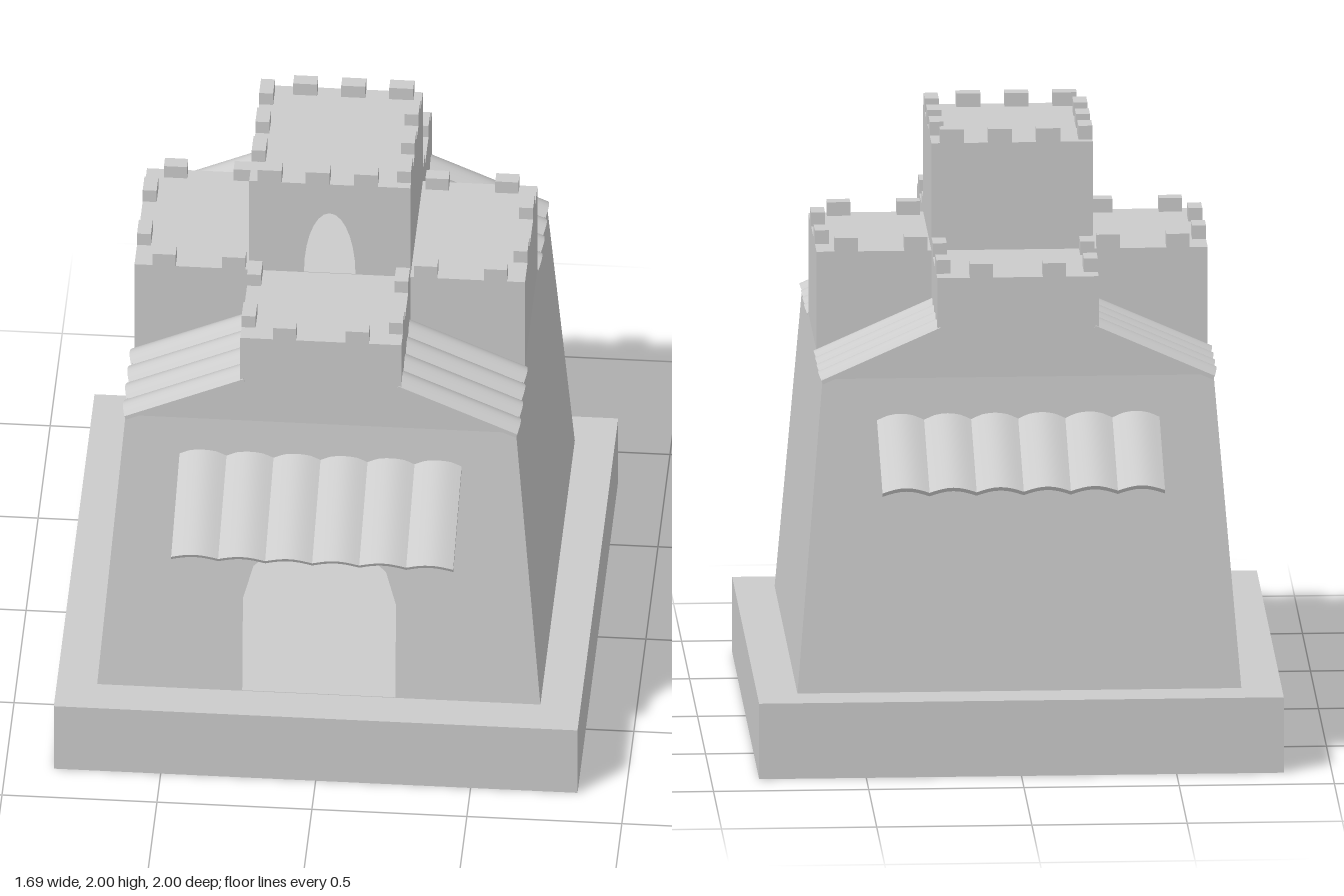
import * as THREE from 'three';
import { toCreasedNormals } from 'three/addons/utils/BufferGeometryUtils.js';

const grey = new THREE.MeshStandardMaterial({ color: 0xcccccc, flatShading: true });
const greyThin = new THREE.MeshStandardMaterial({ color: 0xcccccc, flatShading: true, side: THREE.DoubleSide });
const greySmooth = new THREE.MeshStandardMaterial({ color: 0xcccccc, side: THREE.DoubleSide });

const BASE_Y = 0.25, EAVE_Y = 1.27, DECK_Y = 1.6, TOWER_Y = 1.955;
const ARM = 0.26, REACH = 0.63, FOOT = 0.715;
const MERLON_H = 0.045, MERLON_T = 0.045;

function add(parent, name, geometry, material = grey) {
  const mesh = new THREE.Mesh(geometry, material);
  mesh.name = name;
  parent.add(mesh);
  return mesh;
}

function polygon(points) {
  return new THREE.Shape(points.map(([x, y]) => new THREE.Vector2(x, y)));
}

// box given by its extents on each axis
function block(parent, name, [x0, x1], [y0, y1], [z0, z1]) {
  const mesh = add(parent, name, new THREE.BoxGeometry(x1 - x0, y1 - y0, z1 - z0));
  mesh.position.set((x0 + x1) / 2, (y0 + y1) / 2, (z0 + z1) / 2);
  return mesh;
}

// arched opening: straight jambs up to the spring line, then half an ellipse
function archHole(halfWidth, bottom, spring, rise, segments) {
  const points = [];
  if (spring > bottom) points.push([-halfWidth, bottom], [halfWidth, bottom]);
  for (let i = 0; i <= segments; i++) {
    const a = (i / segments) * Math.PI;
    points.push([halfWidth * Math.cos(a), spring + rise * Math.sin(a)]);
  }
  return polygon(points);
}

// four thin walls whose half-width goes from h0 at y0 to h1 at y1; the front one takes an opening
function walls(parent, name, h0, h1, y0, y1, opening) {
  for (let i = 0; i < 4; i++) {
    const shape = polygon([[-h0, y0], [h0, y0], [h1, y1], [-h1, y1]]);
    if (i === 0) shape.holes.push(opening);
    const geometry = new THREE.ShapeGeometry(shape);
    const p = geometry.attributes.position;
    for (let v = 0; v < p.count; v++) {
      p.setZ(v, THREE.MathUtils.mapLinear(p.getY(v), y0, y1, h0, h1));
    }
    geometry.computeVertexNormals();
    add(parent, name, geometry, greyThin).rotation.y = (i * Math.PI) / 2;
  }
}

// scalloped sheet sloping down along +z from its upper edge at the origin
function tiledRoof(name, tiles, width, length) {
  const top = [], steps = 8, tile = width / tiles;
  for (let i = 0; i <= tiles * steps; i++) {
    top.push([-width / 2 + (i / steps) * tile, 0.02 * Math.sin(((i % steps) / steps) * Math.PI)]);
  }
  const under = top.map(([x, y]) => [x, y - 0.014]).reverse();
  const geometry = new THREE.ExtrudeGeometry(polygon([...top, ...under]), { depth: length, bevelEnabled: false });
  geometry.rotateX(0.418);
  const mesh = new THREE.Mesh(toCreasedNormals(geometry, 0.45), greySmooth);
  mesh.name = name;
  return mesh;
}

export function createModel() {
  const model = new THREE.Group();
  model.name = 'fortress';

  block(model, 'base', [-0.845, 0.845], [0, BASE_Y], [-0.845, 0.845]);

  // hollow tapered keep with an arched doorway
  walls(model, 'keepWall', FOOT, REACH, BASE_Y, EAVE_Y, archHole(0.247, BASE_Y + 0.002, 0.6, 0.245, 6));

  // upper storey: front-to-back arm with sloping shoulders, crossed by a side-to-side arm
  const gable = polygon([
    [-REACH, EAVE_Y - 0.01], [REACH, EAVE_Y - 0.01], [ARM, 1.42], [ARM, DECK_Y],
    [-ARM, DECK_Y], [-ARM, 1.42],
  ]);
  const gableGeometry = new THREE.ExtrudeGeometry(gable, { depth: 2 * REACH, bevelEnabled: false });
  gableGeometry.translate(0, 0, -REACH);
  add(model, 'upperStorey', gableGeometry);
  block(model, 'crossArm', [-REACH, REACH], [EAVE_Y - 0.01, DECK_Y], [-ARM, ARM]);

  // central tower with an arched window
  walls(model, 'towerWall', ARM, ARM, DECK_Y, TOWER_Y, archHole(0.083, DECK_Y + 0.002, DECK_Y + 0.002, 0.238, 14));
  const roof = add(model, 'towerRoof', new THREE.PlaneGeometry(2 * ARM, 2 * ARM), greyThin);
  roof.rotation.x = -Math.PI / 2;
  roof.position.y = TOWER_Y;

  // battlements and tiled roofs, repeated on each of the four sides
  for (let i = 0; i < 4; i++) {
    const side = new THREE.Group();
    side.name = 'battlements';
    side.rotation.y = (i * Math.PI) / 2;
    model.add(side);

    const deck = [DECK_Y, DECK_Y + MERLON_H];
    for (const x of [-0.2325, -0.0775, 0.0775]) {
      block(side, 'towerMerlon', [x, x + 0.0775], [TOWER_Y, 2], [ARM - MERLON_T, ARM]);
    }
    for (const s of [-1, 1]) {
      const inner = s > 0 ? [ARM - MERLON_T, ARM] : [-ARM, MERLON_T - ARM];
      block(side, 'armMerlon', s > 0 ? [0.08, 0.155] : [-0.155, -0.08], deck, [REACH - MERLON_T, REACH]);
      for (const z of [0.272, 0.497]) block(side, 'armMerlon', inner, deck, [z, z + 0.075]);
    }
  }

  for (const s of [-1, 1]) {
    // awnings at front and back
    const awning = tiledRoof('awning', 6, 0.91, 0.39);
    awning.rotation.y = s > 0 ? 0 : Math.PI;
    awning.position.set(0, 1.137, s * 0.635);
    model.add(awning);

    // shoulder roofs over the four corners
    for (const t of [-1, 1]) {
      const shoulder = tiledRoof('shoulderRoof', 4, 0.37, 0.42);
      shoulder.rotation.y = (s * Math.PI) / 2;
      shoulder.position.set(s * 0.25, 1.436, t * 0.447);
      model.add(shoulder);
    }
  }

  return model;
}
